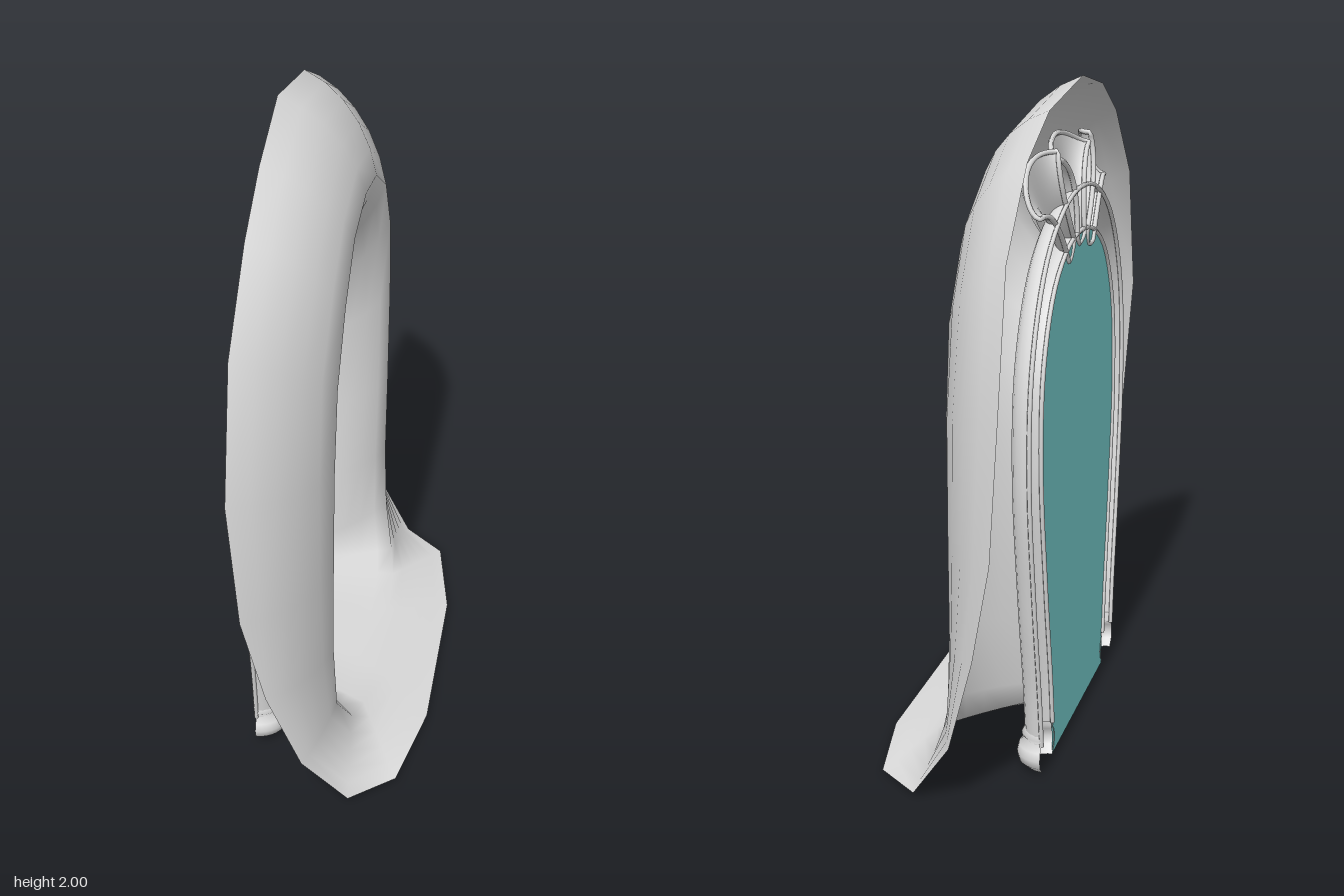
import * as THREE from 'three';

const stone = new THREE.MeshStandardMaterial({ color: 0xdcdcdc, side: THREE.DoubleSide });
stone.name = 'pale stone';
const glow = new THREE.MeshStandardMaterial({ color: 0x82dede, side: THREE.DoubleSide });
glow.name = 'turquoise pane';

// Turn a grid of points (columns of equal length) into a smooth sheet
function sheet(columns, closed) {
  const rows = columns[0].length, n = columns.length, index = [];
  for (let i = 0; i < (closed ? n : n - 1); i++) {
    for (let j = 0; j < rows - 1; j++) {
      const a = i * rows + j, b = ((i + 1) % n) * rows + j;
      index.push(a, a + 1, b, b, a + 1, b + 1);
    }
  }
  const g = new THREE.BufferGeometry().setFromPoints(columns.flat());
  g.setIndex(index);
  g.computeVertexNormals();
  return g;
}

// Full symmetric path from a right half listed bottom to top
function mirrored(half, z) {
  const right = half.map(([x, y]) => new THREE.Vector3(x, y, z));
  const left = half.slice(0, -1).reverse().map(([x, y]) => new THREE.Vector3(-x, y, z));
  return new THREE.CatmullRomCurve3([...right, ...left]);
}

// Hollow horseshoe shell: outer rim, rear crest, rear opening, bulge
function shellGeometry() {
  const stations = [
    [0, 2, .105, 0, 1.72, -.15, 0, 1.42, .07, .6],
    [.33, 1.94, .09, .2, 1.68, -.15, .14, 1.39, .07, .6],
    [.55, 1.83, .085, .38, 1.56, -.155, .26, 1.33, .07, .55],
    [.767, 1.6, .086, .5, 1.37, -.155, .34, 1.19, .07, .45],
    [.857, 1.2, .085, .54, 1.1, -.155, .375, 1, .07, .55],
    [.848, .8, .056, .54, .75, -.155, .37, .72, .07, .55],
    [.815, .5, -.006, .53, .46, -.155, .335, .45, .07, .5],
    [.752, .2, -.097, .52, .24, -.165, .3, .22, .06, .3],
    [.685, .01, -.228, .43, .11, -.2, .28, .15, .05, .1],
    [.575, .01, -.36, .33, .08, -.22, .25, .13, .045, 0],
    [.28, .01, -.42, .15, .07, -.23, .1, .13, .045, 0],
  ];
  const column = (s, sign) => {
    const p = k => new THREE.Vector3(sign * s[k], s[k + 1], s[k + 2]);
    const rim = p(0), crest = p(3), mouth = p(6), pts = [];
    const arc = (edge, t) => {
      const a = t * Math.PI / 2, b = s[9];
      const side = THREE.MathUtils.lerp(1 - t, Math.cos(a), b);
      const back = THREE.MathUtils.lerp(t, Math.sin(a), b);
      return new THREE.Vector3(
        crest.x + (edge.x - crest.x) * side,
        crest.y + (edge.y - crest.y) * side,
        edge.z + (crest.z - edge.z) * back);
    };
    for (let i = 0; i <= 5; i++) pts.push(arc(rim, i / 5));
    for (let i = 4; i >= 0; i--) pts.push(arc(mouth, i / 5));
    return pts;
  };
  const right = stations.map(s => column(s, 1));
  const left = stations.slice(1).reverse().map(s => column(s, -1));
  return sheet([...right, ...left], true);
}

// Half pipe along a path, open toward the front
function halfPipe(path, radius, steps) {
  const columns = [];
  for (let i = 0; i <= steps; i++) {
    const p = path.getPointAt(i / steps), t = path.getTangentAt(i / steps), col = [];
    for (let j = 0; j <= 10; j++) {
      const a = j / 10 * Math.PI, out = radius * Math.cos(a);
      col.push(new THREE.Vector3(p.x + t.y * out, p.y - t.x * out, p.z - radius * Math.sin(a)));
    }
    columns.push(col);
  }
  return columns;
}

// Hollow flared petal, open toward the front; base and tip are [x, y]
function petal(name, base, tip, width) {
  const group = new THREE.Group();
  group.name = name;
  const b = new THREE.Vector2(...base), d = new THREE.Vector2(...tip).sub(b);
  const across = new THREE.Vector2(d.y, -d.x).normalize();
  const columns = [], N = 12, M = 14;
  for (let i = 0; i <= N; i++) {
    const a = i / N * Math.PI, s = -Math.cos(a), col = [];
    for (let j = 0; j <= M; j++) {
      const t = j / M;
      const w = .042 + (width - .042) * Math.pow(t, 3);
      const along = t - .16 * s * s * Math.pow(t, 4);
      col.push(new THREE.Vector3(
        b.x + d.x * along + across.x * w * s,
        b.y + d.y * along + across.y * w * s,
        .1 - .02 * t * t - (.04 + .015 * t) * Math.sin(a)));
    }
    columns.push(col);
  }
  const face = new THREE.Mesh(sheet(columns, false), stone);
  face.name = 'petalFace';
  // Rolled edge round the petal, closed by a rounded foot
  const low = new THREE.Vector3(b.x - d.x * .08, b.y - d.y * .08, .095);
  const edge = [...columns[0], ...columns.slice(1, -1).map(c => c[M]), ...columns[N].slice().reverse(), low];
  const lip = new THREE.Mesh(
    new THREE.TubeGeometry(new THREE.CatmullRomCurve3(edge, true), 80, .008, 6, true), stone);
  lip.name = 'petalLip';
  group.add(face, lip);
  return group;
}

export function createModel() {
  const model = new THREE.Group();
  model.name = 'archedDoorway';
  model.rotation.y = -.87;
  const body = new THREE.Group();
  body.name = 'doorway';
  body.position.x = -.025;
  model.add(body);
  const add = (name, geometry, material) => {
    const mesh = new THREE.Mesh(geometry, material);
    mesh.name = name;
    body.add(mesh);
    return mesh;
  };

  add('shell', shellGeometry(), stone);

  // Half-pipe arch moulding with thin rolled edges
  const arch = mirrored([[.405, .1], [.425, .25], [.485, .57], [.535, .95],
    [.505, 1.25], [.375, 1.47], [.19, 1.58], [0, 1.61]], .1);
  const pipe = halfPipe(arch, .065, 72);
  add('archFrame', sheet(pipe, false), stone);
  for (const j of [0, 10]) {
    const edge = new THREE.CatmullRomCurve3(pipe.map(col => col[j]));
    add(j ? 'innerFrameEdge' : 'outerFrameEdge', new THREE.TubeGeometry(edge, 72, .007, 6), stone);
  }

  // Pane filling the arch
  const outline = mirrored([[.333, 0], [.345, .12], [.41, .52], [.468, .92],
    [.44, 1.22], [.33, 1.42], [.165, 1.52], [0, 1.545]], 0);
  const points = outline.getPoints(56).map(p => new THREE.Vector2(p.x, p.y));
  add('pane', new THREE.ShapeGeometry(new THREE.Shape(points)), glow).position.z = .098;

  // Column feet: half-round, open toward the front
  const profile = [[.06, .003], [.084, .025], [.09, .05], [.084, .075], [.066, .095], [.076, .11], [.066, .13]]
    .map(p => new THREE.Vector2(...p));
  for (const side of [-1, 1]) {
    const foot = add(side > 0 ? 'leftColumnFoot' : 'rightColumnFoot',
      new THREE.LatheGeometry(profile, 16, Math.PI / 2, Math.PI), stone);
    foot.position.set(side * .403, 0, .1);
  }

  // Three-petal crest over the arch
  body.add(petal('centrePetal', [0, 1.53], [0, 1.83], .18));
  body.add(petal('leftPetal', [.12, 1.51], [.33, 1.77], .125));
  body.add(petal('rightPetal', [-.12, 1.51], [-.33, 1.77], .125));

  const root = new THREE.Group();
  root.name = 'model';
  root.add(model);
  return root;
}
